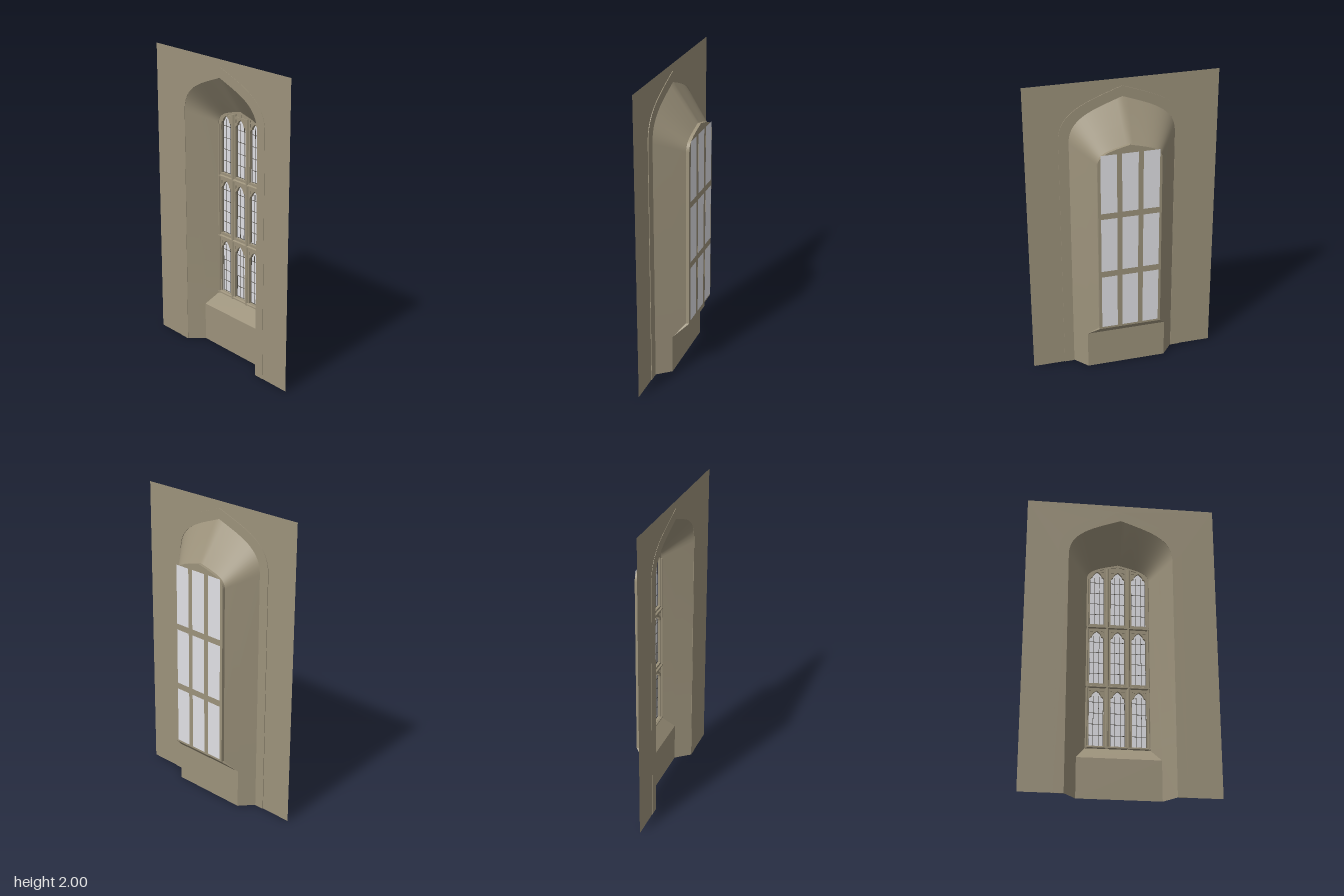
import * as THREE from 'three';
import { toCreasedNormals } from 'three/addons/utils/BufferGeometryUtils.js';

const WALL_Z = 0.093, SILL_Z = 0, FRAME_Z = -0.072, BACK_Z = -0.092;

// Right half of a four-centred arch, from springing to apex
function archPoints(w, spring, apex, n = 16) {
  const h = apex - spring;
  return new THREE.CubicBezierCurve(
    new THREE.Vector2(w, spring), new THREE.Vector2(w, spring + 0.6 * h),
    new THREE.Vector2(0.55 * w, spring + 0.75 * h), new THREE.Vector2(0, apex)
  ).getPoints(n);
}

// Mirrors a right half [x, y, z] list (ending on the axis) to the left
const mirrored = half => [...half, ...half.slice(0, -1).reverse().map(([x, y, z]) => [-x, y, z])];

// Full arched outline standing on a base line
function outline(w, base, spring, apex) {
  const half = [[w, base], ...archPoints(w, spring, apex).map(p => [p.x, p.y])];
  return mirrored(half).map(([x, y]) => new THREE.Vector2(x, y));
}

// Surface through rings holding equal numbers of points
function loft(rings) {
  const n = rings[0].length, index = [];
  for (let r = 0; r < rings.length - 1; r++) {
    for (let i = 0; i < n - 1; i++) {
      const a = r * n + i, b = a + n;
      index.push(a, a + 1, b + 1, a, b + 1, b);
    }
  }
  const g = new THREE.BufferGeometry();
  g.setAttribute('position', new THREE.Float32BufferAttribute(rings.flat(2), 3));
  g.setIndex(index);
  return toCreasedNormals(g, 0.45);
}

// Cusped opening of one light
function lightShape(c, y0, y1) {
  const s = y1 - 0.07, w = 0.047, p = new THREE.Path();
  p.moveTo(c - w, y0);
  p.lineTo(c + w, y0);
  p.lineTo(c + w, s);
  p.quadraticCurveTo(c + w, s + 0.028, c + 0.03, s + 0.03);
  p.quadraticCurveTo(c + 0.03, s + 0.05, c, y1);
  p.quadraticCurveTo(c - 0.03, s + 0.05, c - 0.03, s + 0.03);
  p.quadraticCurveTo(c - w, s + 0.028, c - w, s);
  p.closePath();
  return p;
}

const polygon = pts => new THREE.Path(pts.map(([x, y]) => new THREE.Vector2(x, y)));

export function createModel() {
  const model = new THREE.Group();
  model.name = 'windowAlcove';
  const stone = new THREE.MeshStandardMaterial({ name: 'stone', color: 0x9c927b, side: THREE.DoubleSide });
  const glass = new THREE.MeshStandardMaterial({ name: 'glass', color: 0xe0e0e5, side: THREE.DoubleSide });
  const lead = new THREE.MeshStandardMaterial({ name: 'lead', color: 0x55524a });

  const add = (name, geometry, material, x = 0, y = 0, z = 0, parent = model) => {
    const mesh = new THREE.Mesh(geometry, material);
    mesh.name = name;
    mesh.position.set(x, y, z);
    parent.add(mesh);
    return mesh;
  };
  const extrude = (shape, depth) =>
    new THREE.ExtrudeGeometry(shape, { depth, bevelEnabled: false, curveSegments: 5 });

  // Wall sheet, cut out along the hood line
  const hood = outline(0.405, 0, 1.63, 1.953);
  const opening = outline(0.34, 0, 1.61, 1.885);
  const wall = new THREE.Shape([
    ...hood, ...[[-0.617, 0], [-0.617, 2], [0.617, 2], [0.617, 0]].map(p => new THREE.Vector2(...p))
  ]);
  add('wall', new THREE.ShapeGeometry(wall), stone, 0, 0, WALL_Z);

  // Slim band around the opening
  add('archBand', extrude(new THREE.Shape([...hood, ...opening.reverse()]), 0.006), stone, 0, 0, WALL_Z - 0.004);

  // Splayed reveal: jambs rest on the apron, the arch narrows towards the window
  const outer = archPoints(0.34, 1.61, 1.885), inner = archPoints(0.205, 1.53, 1.643);
  const reveal = [WALL_Z, SILL_Z, FRAME_Z, BACK_Z].map(z => {
    const t = Math.min(1, (WALL_Z - z) / (WALL_Z - FRAME_Z));
    const w = THREE.MathUtils.lerp(0.34, 0.205, t);
    const footZ = Math.max(z, SILL_Z);
    const footW = z < SILL_Z ? 0.264 : w;
    return mirrored([
      [footW, 0, footZ], [footW, 0.26, footZ], [w, 0.345, z],
      ...outer.map((p, i) => [
        THREE.MathUtils.lerp(p.x, inner[i].x, t), THREE.MathUtils.lerp(p.y, inner[i].y, t), z])
    ]);
  });
  add('reveal', loft(reveal), stone);

  // Apron below the window with its sloping sill
  const apron = [[0.264, 0, SILL_Z], [0.264, 0.26, SILL_Z], [0.205, 0.345, FRAME_Z], [0.205, 0.345, BACK_Z]];
  add('apronAndSill', loft(apron.map(([x, y, z]) => [[-x, y, z], [x, y, z]])), stone);

  // Window stonework: a backing layer and a pierced front layer
  const columns = [-0.136, 0, 0.136];
  const rows = [[0.365, 0.735], [0.785, 1.152], [1.2, 1.588]];
  const backing = new THREE.Shape(outline(0.205, 0.345, 1.53, 1.643));
  const tracery = backing.clone();
  rows.forEach(([y0, y1], r) => columns.forEach(c => {
    backing.holes.push(lightShape(c, y0, y1));
    tracery.holes.push(lightShape(c, y0, y1));
    for (const s of [-1, 1]) {
      if (r === 2 && s * c > 0) continue;
      tracery.holes.push(polygon([
        [c + s * 0.045, y1 - 0.004], [c + s * 0.045, y1 - 0.03], [c + s * 0.025, y1 - 0.004]]));
    }
  }));
  // Eyelets under the main arch
  for (const s of [-1, 1]) {
    tracery.holes.push(polygon([[s * 0.008, 1.627], [s * 0.008, 1.602], [s * 0.045, 1.602], [s * 0.045, 1.617]]));
    tracery.holes.push(polygon([[s * 0.09, 1.608], [s * 0.09, 1.594], [s * 0.12, 1.594], [s * 0.12, 1.6]]));
  }
  add('frameBacking', extrude(backing, 0.01), stone, 0, 0, BACK_Z);
  add('frameTracery', extrude(tracery, 0.007), stone, 0, 0, BACK_Z + 0.01);

  // Moulded bars with chamfered fronts
  const bar = (name, length, width) => {
    const h = width / 2;
    const section = new THREE.Shape([[-h, 0], [h, 0], [h * 0.4, 0.012], [-h * 0.4, 0.012]]
      .map(p => new THREE.Vector2(...p)));
    const g = extrude(section, length);
    g.translate(0, 0, -length / 2);
    g.rotateX(Math.PI / 2);
    g.scale(1, 1, 1);
    return add(name, g, stone, 0, 0, BACK_Z + 0.017);
  };
  for (const s of [-1, 1]) {
    bar('mullion', 1.265, 0.024).position.set(s * 0.068, 0.345 + 0.6325, -0.077);
    bar('jambMoulding', 1.18, 0.014).position.set(s * 0.197, 0.345 + 0.59, -0.077);
  }
  for (const y of [0.355, 0.76, 1.177]) {
    const transom = bar('transom', 0.408, 0.02);
    transom.rotation.z = Math.PI / 2;
    transom.position.set(0, y, -0.077);
  }

  // Glass and leading in every light
  for (const [y0, y1] of rows) {
    const h = y1 - y0;
    for (const c of columns) {
      const light = new THREE.Group();
      light.name = 'light';
      light.position.set(c, y0, 0);
      model.add(light);
      add('pane', new THREE.PlaneGeometry(0.104, h + 0.008), glass, 0, h / 2, -0.0955, light);
      for (const x of [-0.0455, -0.017, 0.017, 0.0455]) {
        add('verticalLead', new THREE.BoxGeometry(0.003, h - 0.03, 0.002), lead, x, h / 2 - 0.015, -0.094, light);
      }
      for (let i = 0; i < 5; i++) {
        add('horizontalLead', new THREE.BoxGeometry(0.094, 0.003, 0.002), lead, 0, 0.002 + i * h / 5, -0.094, light);
      }
    }
  }
  return model;
}
